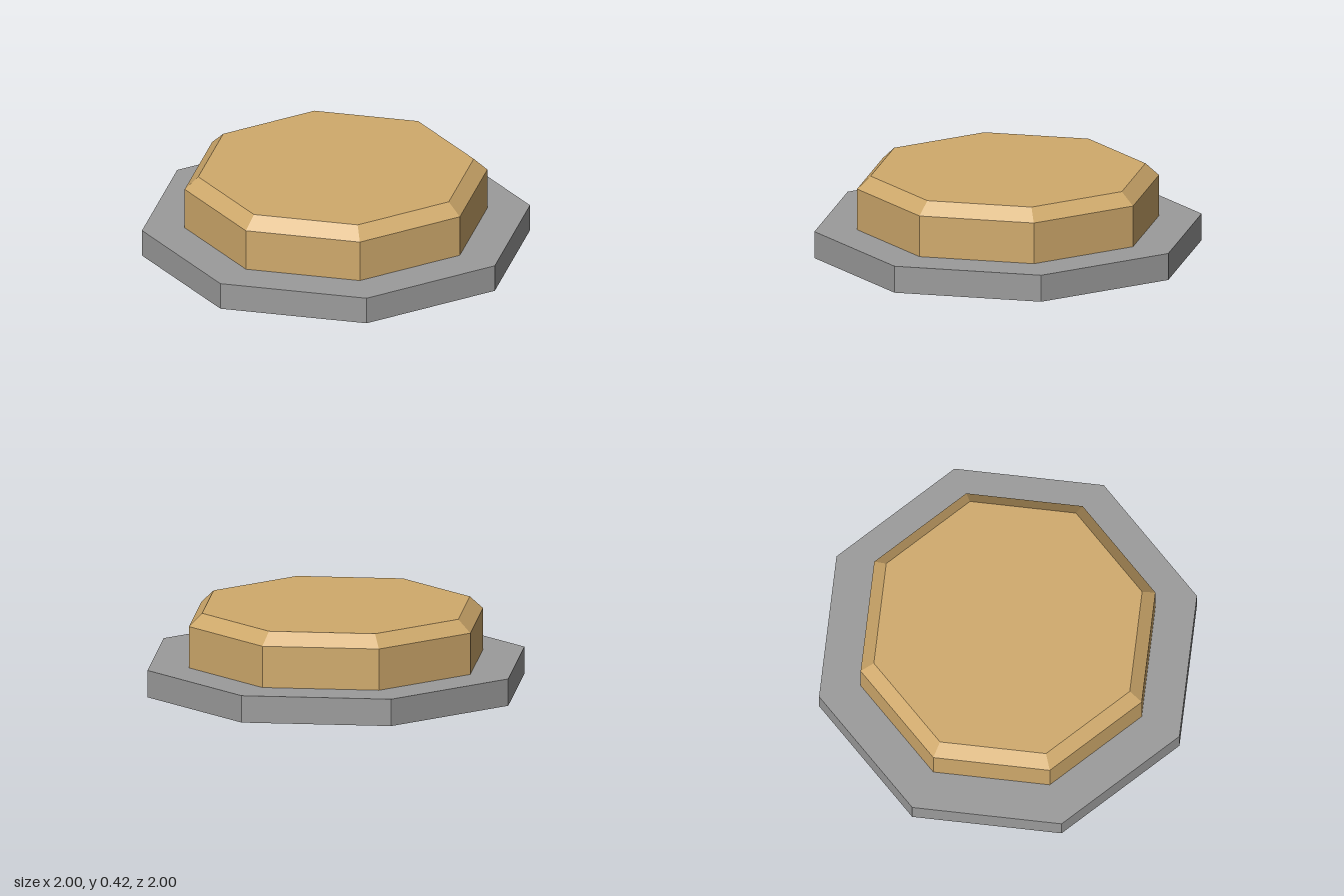
import * as THREE from 'three';

const SIDES = 8;

// Open-bottomed octagonal shell from a [radius, height] profile, listed bottom to top
function shell(name, profile, material) {
  const points = profile.map(([r, y]) => new THREE.Vector2(r, y));
  const mesh = new THREE.Mesh(new THREE.LatheGeometry(points, SIDES), material);
  mesh.name = name;
  return mesh;
}

function flatMaterial(name, color) {
  const material = new THREE.MeshStandardMaterial({ color, flatShading: true, side: THREE.DoubleSide });
  material.name = name;
  return material;
}

export function createModel() {
  const grey = flatMaterial('grey', 0x9b9b9b);
  const gold = flatMaterial('gold', 0xd0aa6c);

  const model = new THREE.Group();
  model.name = 'octagonalButton';

  // Outer wall and flat rim, open in the middle
  model.add(shell('baseRim', [[1, 0], [1, 0.14], [0.78, 0.14]], grey));

  // Hollow bevelled cap, its skirt reaching a little below the rim
  model.add(shell('cap', [[0.78, 0.107], [0.78, 0.355], [0.71, 0.42], [0, 0.42]], gold));

  return model;
}
